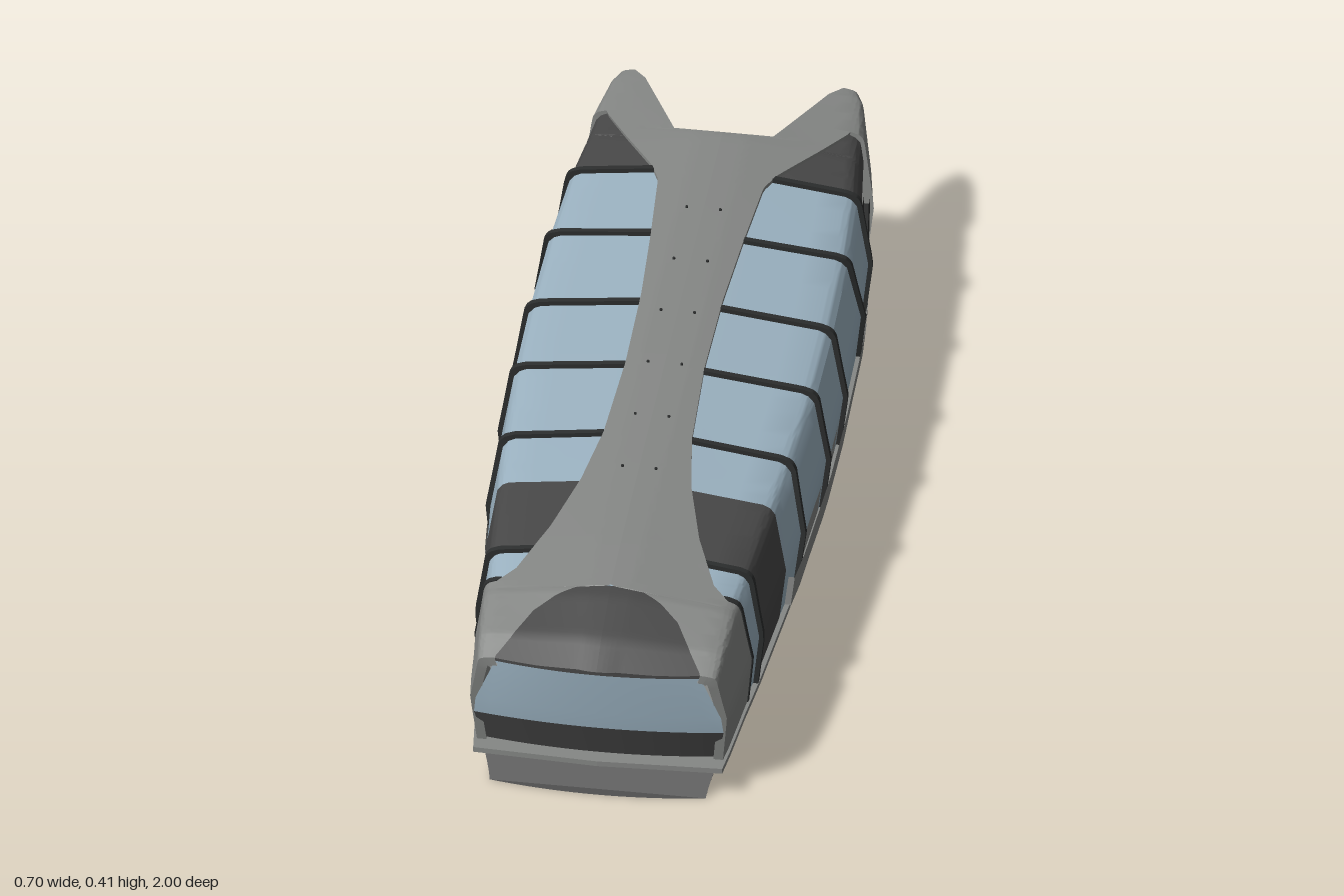
import * as THREE from 'three';
import { toCreasedNormals } from 'three/addons/utils/BufferGeometryUtils.js';

const mat = (color) => new THREE.MeshStandardMaterial({ color, side: THREE.DoubleSide });
const shellMat = mat(0x868886), darkMat = mat(0x484848), glassMat = mat(0x9cb3c2);
const hullMat = mat(0x505050), ribMat = mat(0x2c2e2e);

// Linear lookup in a list of [position, value] pairs, positions ascending
const look = (pairs) => (z) => {
  if (z <= pairs[0][0]) return pairs[0][1];
  for (let i = 1; i < pairs.length; i++) {
    const [a, va] = pairs[i - 1], [b, vb] = pairs[i];
    if (z <= b) return va + ((vb - va) * (z - a)) / (b - a);
  }
  return pairs[pairs.length - 1][1];
};

// Rules along the length of the boat
const halfWidth = look([[-1, 0.26], [-0.97, 0.275], [-0.85, 0.297], [-0.65, 0.322], [-0.42, 0.335], [-0.18, 0.34],
  [0.04, 0.338], [0.28, 0.324], [0.44, 0.311], [0.67, 0.292], [0.78, 0.28], [0.94, 0.266], [1, 0.258]]);
const roofHeight = look([[-1, 0.383], [-0.9, 0.39], [-0.75, 0.4], [0, 0.398], [0.4, 0.393], [0.65, 0.388],
  [0.82, 0.38], [0.93, 0.349], [1, 0.313]]);
const crown = look([[-1, 0.5], [-0.75, 1], [0.8, 1], [1, 0.3]]);
const lean = look([[-1, -0.04], [-0.85, -0.02], [-0.64, 0], [-0.41, 0.07], [-0.17, 0], [0.05, 0],
  [0.28, -0.04], [0.44, 0], [0.67, 0], [0.78, 0.04], [1, 0.04]]);
const spineEdge = look([[-0.85, 0.255], [-0.75, 0.195], [-0.65, 0.13], [-0.6, 0.11], [-0.4, 0.096], [-0.2, 0.085],
  [0.04, 0.082], [0.28, 0.092], [0.44, 0.115], [0.6, 0.155], [0.67, 0.18], [0.74, 0.205], [0.78, 0.238]]);
const notchEdge = look([[-1, 0.215], [-0.97, 0.19], [-0.775, 0.1], [-0.77, 0], [0.8, 0], [0.806, 0.07],
  [0.83, 0.11], [0.87, 0.15], [0.94, 0.185], [0.985, 0.212]]);
const bottomHalf = look([[-0.93, 0.02], [-0.7, 0.08], [-0.4, 0.15], [0, 0.205], [0.4, 0.225], [1, 0.225]]);
const deckHalf = (z) => halfWidth(z) * 0.98;

// Cabin section: u = 0 roof centre, 2..4 rounded shoulder, 5 widest point, 6 deck
const section = (z) => {
  const w = halfWidth(z), h = roofHeight(z), c = crown(z);
  return [[0, h], [0.15 * w, h - 0.002 * c], [0.85 * w, h - 0.031 * c], [0.893 * w, h - 0.038 * c],
    [0.928 * w, h - 0.053 * c], [w, 0.2], [0.955 * w, 0.075]];
};
const uAtX = (z, x) => {
  const f = x / halfWidth(z);
  return f < 0.15 ? f / 0.15 : Math.min(1 + (f - 0.15) / 0.7, 4);
};
function cabinPoint(z, u, off, side, shift = 0) {
  const s = section(z), i = Math.min(Math.floor(u), 5), f = u - i;
  const x = s[i][0] + (s[i + 1][0] - s[i][0]) * f, y = s[i][1] + (s[i + 1][1] - s[i][1]) * f;
  const out = THREE.MathUtils.clamp((u - 1.5) / 2, 0, 1), up = THREE.MathUtils.clamp(4.5 - u, 0, 1);
  const k = (s[0][1] - y) / (s[0][1] - 0.075);
  return [side * (x + off * out), y + off * up, z - lean(z) * k - shift];
}

// Surface from a grid of points
function grid(m, n, f) {
  const pos = [], idx = [];
  for (let i = 0; i <= m; i++) for (let j = 0; j <= n; j++) pos.push(...f(i, j));
  for (let i = 0; i < m; i++) for (let j = 0; j < n; j++) {
    const a = i * (n + 1) + j, b = a + n + 1;
    idx.push(a, b, a + 1, b, b + 1, a + 1);
  }
  const g = new THREE.BufferGeometry();
  g.setAttribute('position', new THREE.Float32BufferAttribute(pos, 3));
  g.setIndex(idx);
  return toCreasedNormals(g, 0.5);
}

export function createModel() {
  const model = new THREE.Group();
  const add = (name, geo, material, x = 0, y = 0, z = 0) => {
    const mesh = new THREE.Mesh(geo, material);
    mesh.name = name;
    mesh.position.set(x, y, z);
    model.add(mesh);
    return mesh;
  };
  const box = (name, w, h, d, material, x, y, z) => add(name, new THREE.BoxGeometry(w, h, d), material, x, y, z);

  // Thick panel lying on the cabin surface, mirrored to both sides
  function panel(name, material, z0, z1, u0, u1, outer = 0, inner = -0.006, rows = 16, bow = 0) {
    const n = 24, val = (v, z) => (typeof v === 'function' ? v(z) : v);
    for (const side of [1, -1]) {
      add(name, grid(rows + 2, 2 * n + 2, (i, j) => {
        const r = THREE.MathUtils.clamp(i - 1, 0, rows) / rows, z = z0 + (z1 - z0) * r;
        const isOuter = j <= n && i > 0 && i < rows + 2;
        const t = j <= n ? j / n : j === 2 * n + 2 ? 0 : (2 * n + 1 - j) / n;
        const u = val(u0, z) + (val(u1, z) - val(u0, z)) * t;
        return cabinPoint(z, u, isOuter ? outer : inner, side, bow * r * t * t);
      }), material);
    }
  }
  const spineU = (z) => uAtX(z, spineEdge(z));
  const notchU = (z) => uAtX(z, notchEdge(z));

  // Glazing and dark cabin bands
  panel('cabinGlass', glassMat, -0.64, 0.44, 0, 6, 0, -0.006, 36);
  panel('darkCabinBand', darkMat, 0.44, 0.675, 0, 6, 0.001);
  panel('frontSideGlass', glassMat, 0.675, 0.79, 0, 6);
  panel('aftRoofPanel', darkMat, -0.86, -0.64, notchU, 4.3);
  panel('noseRoof', darkMat, 0.79, 1, 0, 2, 0, -0.006, 16, 0.02);

  // Grey outer shell: front frame, roof spine, rear arms
  panel('frontFrame', shellMat, 0.78, 0.988, notchU, 6, 0.008, -0.012, 40);
  panel('roofSpine', shellMat, -0.85, 0.78, notchU, spineU, 0.008, 0, 120);
  panel('rearArm', shellMat, -1, -0.85, notchU, 6, 0.008, -0.012, 20);

  // Raised ribs between the windows
  for (const z of [-0.64, -0.415, -0.175, 0.045, 0.28, 0.672, 0.775]) {
    panel('windowRib', ribMat, z - 0.006, z + 0.006, spineU, 6, 0.01, -0.005, 1);
  }
  panel('sideSill', shellMat, -0.46, 0.38, 5.42, 6, 0.013, 0, 24);

  // Windscreen and nose below it, bowed in plan
  const noseRows = [[0.075, 0.245, 0.957], [0.16, 0.26, 0.985], [0.2, 0.256, 0.991], [0.305, 0.214, 1]];
  const nose = (name, rows, material) => add(name, grid(rows.length - 1, 16, (i, j) => {
    const [y, w, z] = rows[i], t = j / 8 - 1;
    return [w * t, y, z - 0.02 * t * t];
  }), material);
  nose('lowerNose', noseRows.slice(0, 2), darkMat);
  nose('windscreen', noseRows.slice(1), glassMat);
  nose('windscreenLip', [noseRows[3], [0.312, 0.214, 1]], darkMat);

  // Deck with rubbing strake
  const outline = [];
  for (let i = 0; i <= 30; i++) {
    const z = -0.965 + (1.945 * i) / 30;
    outline.push([deckHalf(z) + 0.004, z]);
  }
  const deckShape = new THREE.Shape([
    ...outline.map(([x, z]) => new THREE.Vector2(x, -z)),
    new THREE.Vector2(0, -0.992),
    ...outline.slice().reverse().map(([x, z]) => new THREE.Vector2(-x, -z)),
  ]);
  const deck = new THREE.ExtrudeGeometry(deckShape, { depth: 0.012, bevelEnabled: false });
  add('deck', deck.rotateX(-Math.PI / 2), shellMat, 0, 0.067, 0);

  // Hull: flat bottom narrowing to a V at the stern, flared sides, closed ends
  const hullRows = 40, c = 10;
  add('hull', grid(hullRows + 2, 4 * c, (i, j) => {
    const r = THREE.MathUtils.clamp(i - 1, 0, hullRows) / hullRows, z = -0.93 + 1.93 * r;
    const q = (j - 2 * c) / c, a = Math.abs(q), v = Math.max(a - 1, 0), b = bottomHalf(z);
    const x = Math.sign(q) * (a < 1 ? b * a : b + (deckHalf(z) - 0.008 - b) * Math.pow(v, 1.25));
    const front = Math.max((z - 0.7) / 0.3, 0);
    const end = i === 0 || i === hullRows + 2;
    return [end ? 0 : x, 0.068 * v, z - front * (0.035 * v + 0.02 * Math.min(1, (x / 0.225) ** 2))];
  }), hullMat);

  // Aft cabin bulkhead with glazed doors
  const half = section(-0.635).map(([x, y]) => new THREE.Vector2(x - (x > 0.2 ? 0.006 : 0), y - 0.004));
  const wall = new THREE.Shape([...half, ...half.slice(1).reverse().map((p) => new THREE.Vector2(-p.x, p.y))]);
  add('aftBulkhead', new THREE.ShapeGeometry(wall), darkMat, 0, 0, -0.637);
  for (const side of [1, -1]) {
    box('aftDoorGlass', 0.16, 0.24, 0.006, glassMat, side * 0.095, 0.22, -0.642);
    box('aftWindow', 0.08, 0.15, 0.006, glassMat, side * 0.245, 0.24, -0.642);
    box('doorPost', 0.016, 0.15, 0.022, ribMat, side * 0.19, 0.235, -0.654);
  }

  // Open aft deck: bulwarks, rails and bench
  panel('sideBulwark', darkMat, -0.86, -0.64, 5.28, 6, 0, -0.012);
  panel('sideRail', ribMat, -0.86, -0.64, 4.86, 4.97, 0, -0.012);
  box('sternBulwark', 0.48, 0.08, 0.014, darkMat, 0, 0.118, -0.957);
  box('sternRail', 0.5, 0.008, 0.022, shellMat, 0, 0.162, -0.962);
  box('aftBench', 0.42, 0.035, 0.08, shellMat, 0, 0.125, -0.9);
  box('benchBase', 0.4, 0.03, 0.06, darkMat, 0, 0.093, -0.9);

  // Small fittings along the roof spine
  for (let i = 0; i < 6; i++) {
    for (const side of [1, -1]) {
      const z = 0.4 - i * 0.18;
      add('roofFitting', new THREE.CylinderGeometry(0.003, 0.003, 0.004, 8), ribMat, side * 0.035, roofHeight(z) + 0.008, z);
    }
  }
  return model;
}
